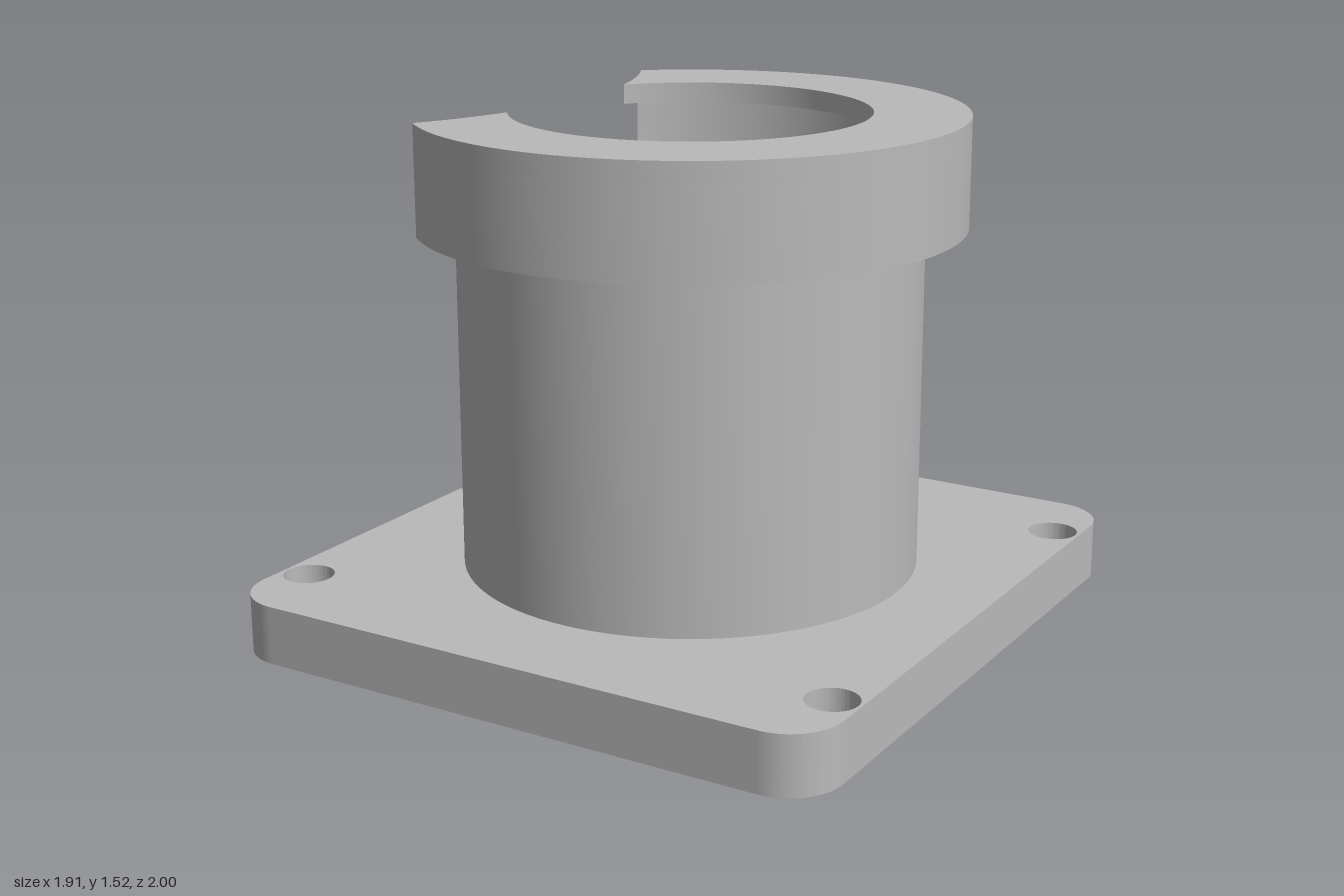
import * as THREE from 'three';
import { toCreasedNormals } from 'three/addons/utils/BufferGeometryUtils.js';

const CUT_X = -1.585, CUT_R = 1.2; // large circle that opens the collar on its -x side

// Angles where a circle of radius r about the axis meets the cutting circle
function cutAngles(r) {
  const x = (r * r + CUT_X * CUT_X - CUT_R * CUT_R) / (2 * CUT_X);
  const z = Math.sqrt(r * r - x * x);
  return { axis: Math.atan2(z, x), cut: Math.asin(z / CUT_R) };
}

// Ring portion outside the cutting circle
function openRing(outer, inner) {
  const o = cutAngles(outer), i = cutAngles(inner);
  const s = new THREE.Shape();
  s.absarc(0, 0, outer, -o.axis, o.axis, false);
  s.absarc(CUT_X, 0, CUT_R, o.cut, i.cut, true);
  s.absarc(0, 0, inner, i.axis, -i.axis, true);
  s.absarc(CUT_X, 0, CUT_R, -i.cut, -o.cut, true);
  return s;
}

// Ring portion inside the cutting circle
function ringSector(outer, inner) {
  const o = cutAngles(outer), i = cutAngles(inner), full = Math.PI * 2;
  const s = new THREE.Shape();
  s.absarc(0, 0, outer, o.axis, full - o.axis, false);
  s.absarc(CUT_X, 0, CUT_R, -o.cut, -i.cut, false);
  s.absarc(0, 0, inner, full - i.axis, i.axis, true);
  s.absarc(CUT_X, 0, CUT_R, i.cut, o.cut, false);
  return s;
}

// Rounded rectangle with a centre bore and four bolt holes
function plateShape(w, d, r, bore) {
  const s = new THREE.Shape();
  const x = w - r, y = d - r, q = Math.PI / 2;
  [[x, y], [-x, y], [-x, -y], [x, -y]].forEach(([cx, cy], k) =>
    s.absarc(cx, cy, r, k * q, (k + 1) * q, false));
  const hole = (cx, cy, hr) =>
    s.holes.push(new THREE.Path().absarc(cx, cy, hr, 0, Math.PI * 2, true));
  hole(0, 0, bore);
  for (const sx of [-1, 1]) for (const sy of [-1, 1]) hole(sx * 0.87, sy * 0.74, 0.075);
  return s;
}

export function createModel() {
  const group = new THREE.Group();
  const grey = new THREE.MeshStandardMaterial({ color: 0xbababa });
  grey.name = 'grey metal';

  const add = (name, geometry) => {
    const mesh = new THREE.Mesh(toCreasedNormals(geometry, 0.5), grey);
    mesh.name = name;
    group.add(mesh);
  };
  const slab = (name, shape, y0, y1) => {
    const g = new THREE.ExtrudeGeometry(shape, { depth: y1 - y0, bevelEnabled: false, curveSegments: 48 });
    g.rotateX(-Math.PI / 2);
    g.translate(0, y0, 0);
    add(name, g);
  };

  // Base flange
  slab('basePlate', plateShape(0.955, 1, 0.16, 0.485), 0, 0.175);

  // Hollow barrel: upper bore, inner web with a through hole, lower counterbore
  const profile = [
    [0.682, 0.175], [0.682, 1.2], [0.487, 1.2], [0.487, 0.88],
    [0.268, 0.88], [0.268, 0.3], [0.485, 0.3], [0.485, 0.175],
  ].map(([r, y]) => new THREE.Vector2(r, y));
  add('barrel', new THREE.LatheGeometry(profile, 96));

  // Slightly raised rim in the collar opening
  slab('raisedRim', ringSector(0.682, 0.487), 1.2, 1.217);

  // Open collar: wall with an inward lip above it
  slab('collarWall', openRing(0.805, 0.682), 1.2, 1.465);
  slab('collarLip', openRing(0.805, 0.525), 1.465, 1.525);

  return group;
}
